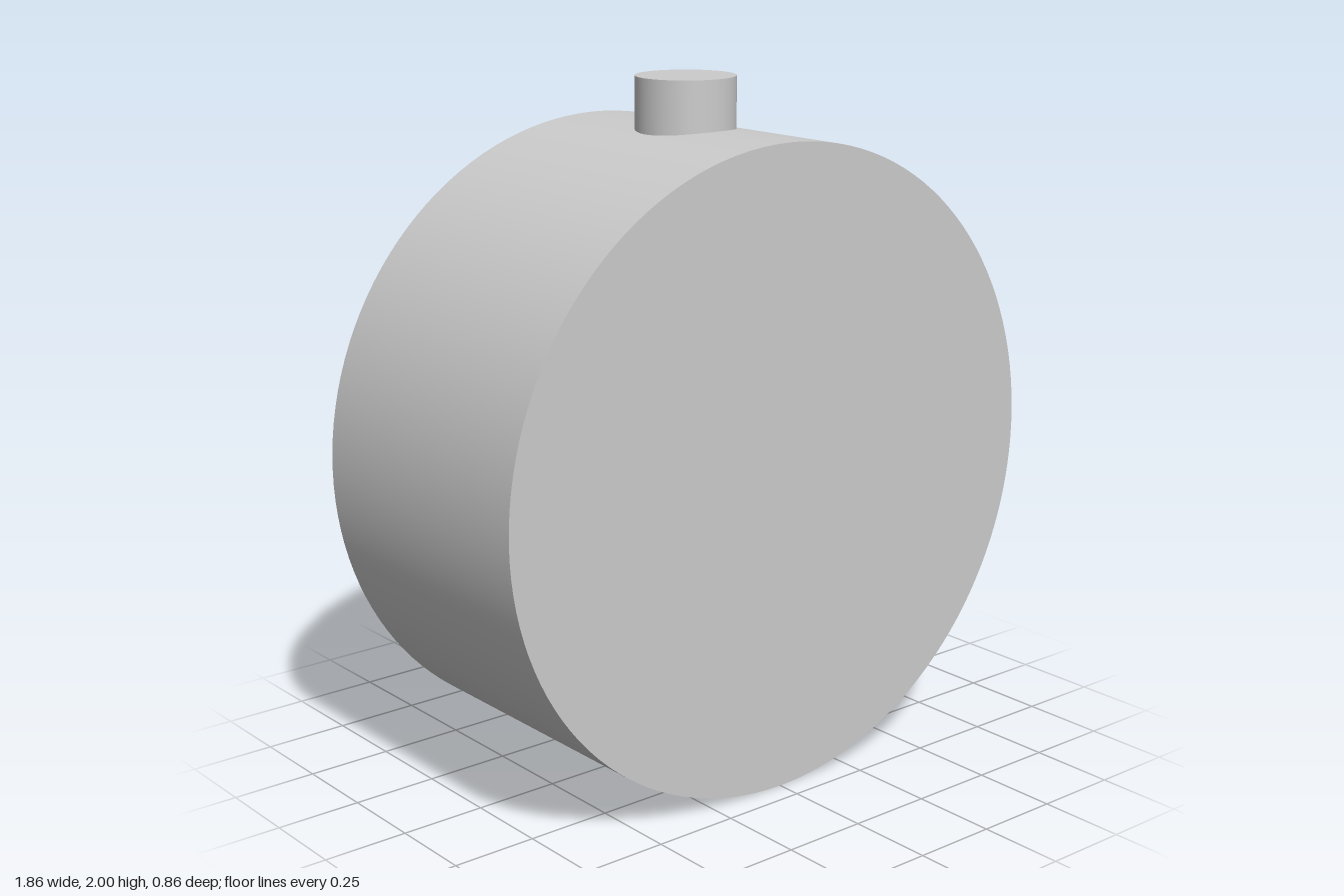
import * as THREE from 'three';

export function createModel() {
  const group = new THREE.Group();
  const material = new THREE.MeshStandardMaterial({ color: 0xcccccc });
  const radius = 0.9286, depth = 0.857, stemRadius = 0.143;

  const addCylinder = (name, r, height, y, segments) => {
    const mesh = new THREE.Mesh(new THREE.CylinderGeometry(r, r, height, segments), material);
    mesh.name = name;
    mesh.position.y = y;
    group.add(mesh);
    return mesh;
  };

  // Round drum lying on its side, flat faces to front and back
  addCylinder('drumBody', radius, depth, radius, 128).rotation.x = Math.PI / 2;

  // Short stem on top, sunk slightly into the curved wall
  const stemBottom = 1.83, stemTop = 2;
  addCylinder('topStem', stemRadius, stemTop - stemBottom, (stemTop + stemBottom) / 2, 64);

  return group;
}
